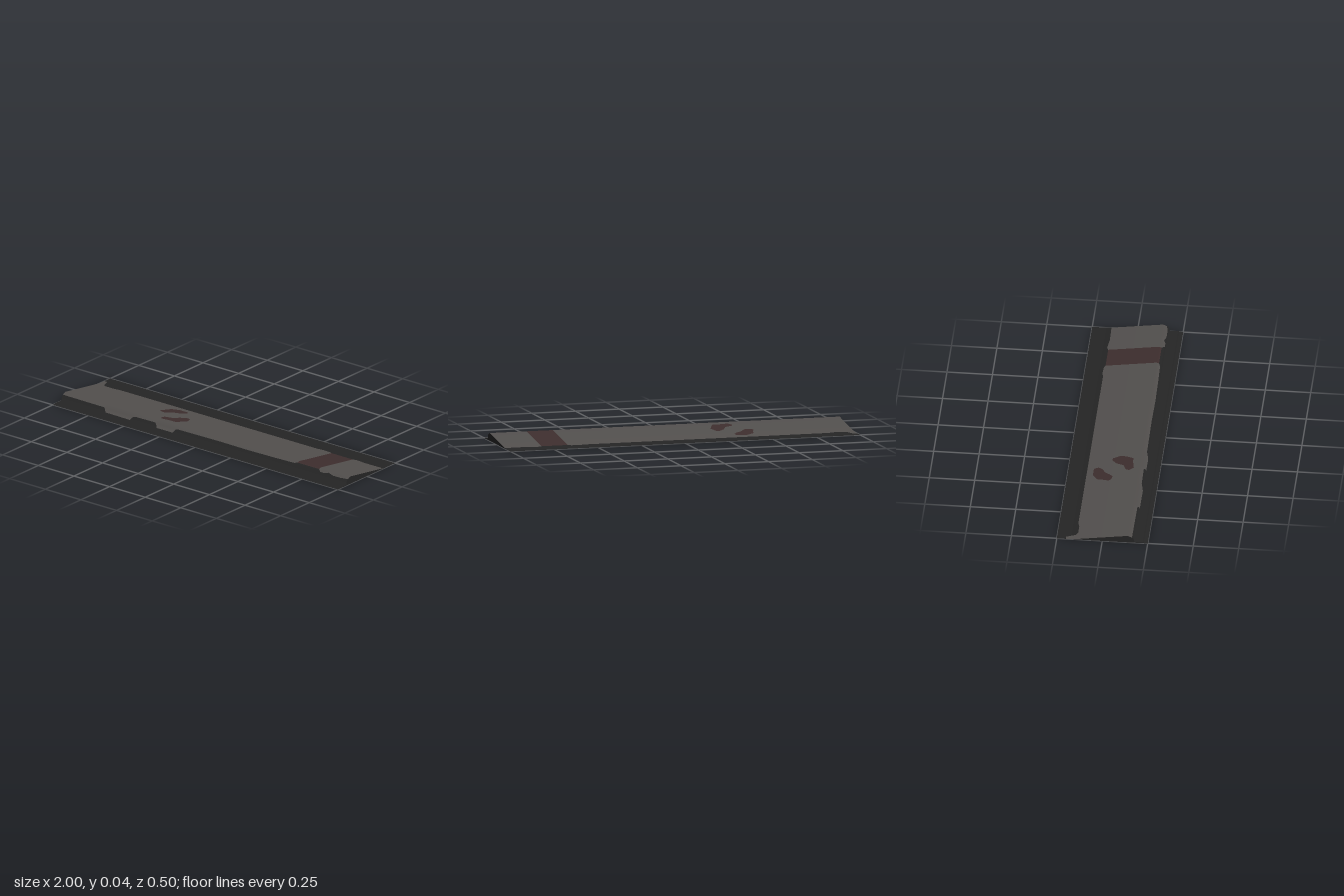
import * as THREE from 'three';

// Cross-section from back to front as [z, y]
const PROFILE = [[-0.25, 0], [-0.155, 0.001], [0.14, 0.043], [0.17, 0.03], [0.178, 0.003], [0.225, 0.004], [0.25, 0]];

// Smooth [z, y] normal at each profile point, weighted by segment length
const NORMALS = PROFILE.map((p, i) => {
  const a = PROFILE[Math.max(i - 1, 0)];
  const b = PROFILE[Math.min(i + 1, PROFILE.length - 1)];
  return new THREE.Vector2(a[1] - b[1], b[0] - a[0]).normalize();
});

// Linear interpolation through [x, value] keys
function along(keys, x) {
  if (x <= keys[0][0]) return keys[0][1];
  for (let i = 1; i < keys.length; i++) {
    const [x0, v0] = keys[i - 1];
    const [x1, v1] = keys[i];
    if (x <= x1) return v0 + (v1 - v0) * (x - x0) / (x1 - x0);
  }
  return keys[keys.length - 1][1];
}

const heightAt = (z) => along(PROFILE, z);
const normalAt = (z) => new THREE.Vector2(
  along(PROFILE.map((p, i) => [p[0], NORMALS[i].x]), z),
  along(PROFILE.map((p, i) => [p[0], NORMALS[i].y]), z)).normalize();

// Piece of the moulded surface between two edges that wander along x
function strip(x0, x1, backEdge, frontEdge) {
  const pos = [], nor = [], idx = [];
  const cols = Math.round((x1 - x0) / 0.01);
  const rows = PROFILE.length;
  for (let c = 0; c <= cols; c++) {
    const x = x0 + (x1 - x0) * c / cols;
    const lo = along(backEdge, x);
    const hi = Math.max(lo, along(frontEdge, x));
    for (const [pz] of PROFILE) {
      const z = Math.min(Math.max(pz, lo), hi);
      const n = normalAt(z);
      pos.push(x, heightAt(z), z);
      nor.push(0, n.y, n.x);
    }
    // the outermost rows always lie on the two edges
    const first = pos.length - rows * 3;
    pos[first + 1] = heightAt(lo);
    pos[first + 2] = lo;
  }
  const same = (a, b) => Math.abs(pos[a * 3 + 2] - pos[b * 3 + 2]) < 1e-6;
  for (let c = 0; c < cols; c++) {
    for (let r = 0; r < rows - 1; r++) {
      const a = c * rows + r, b = a + 1, d = a + rows, e = d + 1;
      if (!same(a, b)) idx.push(a, b, d);
      if (!same(d, e)) idx.push(b, e, d);
    }
  }
  const g = new THREE.BufferGeometry();
  g.setAttribute('position', new THREE.Float32BufferAttribute(pos, 3));
  g.setAttribute('normal', new THREE.Float32BufferAttribute(nor, 3));
  g.setIndex(idx);
  return g;
}

export function createModel() {
  const group = new THREE.Group();
  group.name = 'kerb';
  const material = (name, color) => {
    const m = new THREE.MeshStandardMaterial({ color, side: THREE.DoubleSide });
    m.name = name;
    return m;
  };
  const asphalt = material('asphalt', 0x252525);
  const concrete = material('concrete', 0x53504e);
  const stain = material('rustStain', 0x3e2e2e);
  const add = (name, geometry, mat) => {
    const mesh = new THREE.Mesh(geometry, mat);
    mesh.name = name;
    group.add(mesh);
  };

  // Worn edges of the concrete; the front one drips down the kerb face in places
  const rear = [[-1, -0.2], [-0.975, -0.2], [-0.965, -0.15], [-0.94, -0.138], [-0.88, -0.138], [-0.85, -0.146],
    [0.54, -0.146], [0.57, -0.152], [0.62, -0.15], [0.64, -0.142], [0.79, -0.142], [0.81, -0.15], [0.88, -0.142], [1, -0.144]];
  const front = [[-1, 0.163], [-0.71, 0.165], [-0.69, 0.176], [-0.52, 0.1765], [-0.49, 0.167], [-0.35, 0.165],
    [-0.33, 0.1765], [-0.22, 0.1765], [-0.19, 0.167], [0.1, 0.164], [0.3, 0.166], [0.5, 0.163], [0.62, 0.16],
    [0.64, 0.152], [0.79, 0.152], [0.81, 0.168], [0.84, 0.168], [0.86, 0.158], [0.9, 0.168], [0.95, 0.168], [1, 0.162]];
  const constant = (z) => [[-1, z], [1, z]];

  // Road surface behind and gutter in front
  add('rearAsphalt', strip(-1, 1, constant(-0.25), rear), asphalt);
  add('gutter', strip(-1, 1, front, constant(0.25)), asphalt);

  // Two blotches, each given by its back and front outline
  const blotches = [
    {
      back: [[-0.46, -0.02], [-0.45, -0.045], [-0.44, -0.085], [-0.4, -0.11], [-0.34, -0.11], [-0.33, -0.085]],
      front: [[-0.46, -0.02], [-0.45, -0.005], [-0.42, 0], [-0.4, -0.02], [-0.38, -0.045], [-0.35, -0.06], [-0.33, -0.085]],
    },
    {
      back: [[-0.37, 0.085], [-0.36, 0.065], [-0.32, 0.05], [-0.3, 0.01], [-0.27, -0.015], [-0.25, -0.015], [-0.23, 0.03]],
      front: [[-0.37, 0.085], [-0.35, 0.11], [-0.32, 0.105], [-0.29, 0.1], [-0.26, 0.1], [-0.24, 0.06], [-0.23, 0.03]],
    },
  ];
  blotches.forEach((b) => add('stainBlotch', strip(-0.46, -0.23, b.back, b.front), stain));

  // Concrete around the blotches, then the stained band and the far end
  add('concreteRear', strip(-1, 0.64, rear, blotches[0].back), concrete);
  add('concreteMiddle', strip(-1, 0.64, blotches[0].front, blotches[1].back), concrete);
  add('concreteFront', strip(-1, 0.64, blotches[1].front, front), concrete);
  add('stainBand', strip(0.64, 0.79, rear, front), stain);
  add('concreteEnd', strip(0.79, 1, rear, front), concrete);

  // End caps; the underside stays open
  for (const side of [-1, 1]) {
    const cap = new THREE.ShapeGeometry(new THREE.Shape(PROFILE.map(([z, y]) => new THREE.Vector2(z, y))));
    cap.rotateY(-Math.PI / 2);
    cap.translate(side, 0, 0);
    add('endCap', cap, asphalt);
  }
  return group;
}
